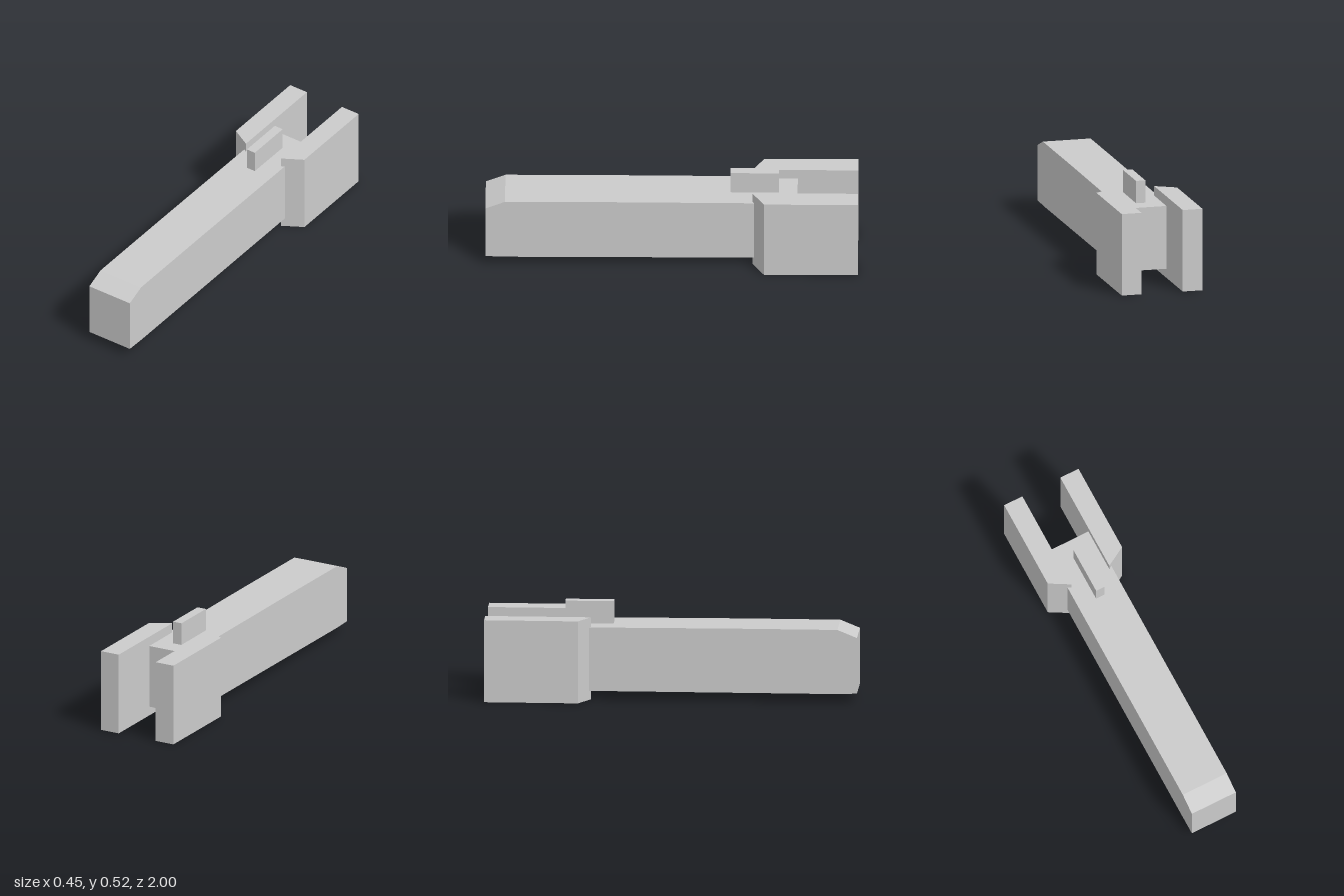
import * as THREE from 'three';

const material = new THREE.MeshStandardMaterial({ color: 0xcccccc, flatShading: true });

// Straight extrusion of a polygon outline
function prism(points, depth) {
  const shape = new THREE.Shape(points.map(([x, y]) => new THREE.Vector2(x, y)));
  return new THREE.ExtrudeGeometry(shape, { depth, bevelEnabled: false });
}

function addMesh(group, name, geometry) {
  const mesh = new THREE.Mesh(geometry, material);
  mesh.name = name;
  group.add(mesh);
  return mesh;
}

export function createModel() {
  const model = new THREE.Group();
  model.name = 'model';

  // Long beam with a chamfered nose: side outline as (z, y)
  const width = 0.266;
  const beam = prism([
    [-0.675, 0.05], [0.89, 0.05], [1, 0.054], [1, 0.359],
    [0.895, 0.402], [0.34, 0.402], [-0.675, 0.397],
  ], width);
  beam.translate(0, 0, -width / 2).rotateY(-Math.PI / 2);
  addMesh(model, 'beam', beam);

  // Pair of rear side plates with slanted front ends: plan outline as (x, -z)
  for (const side of [1, -1]) {
    const plate = prism([
      [side * 0.115, 1], [side * 0.225, 1], [side * 0.225, 0.495], [side * 0.115, 0.432],
    ], 0.45);
    plate.rotateX(-Math.PI / 2);
    addMesh(model, side > 0 ? 'leftPlate' : 'rightPlate', plate);
  }

  // Small upright fin on top of the beam
  const fin = addMesh(model, 'topFin', new THREE.BoxGeometry(0.052, 0.132, 0.26));
  fin.position.set(0, 0.455, -0.445);

  return model;
}
